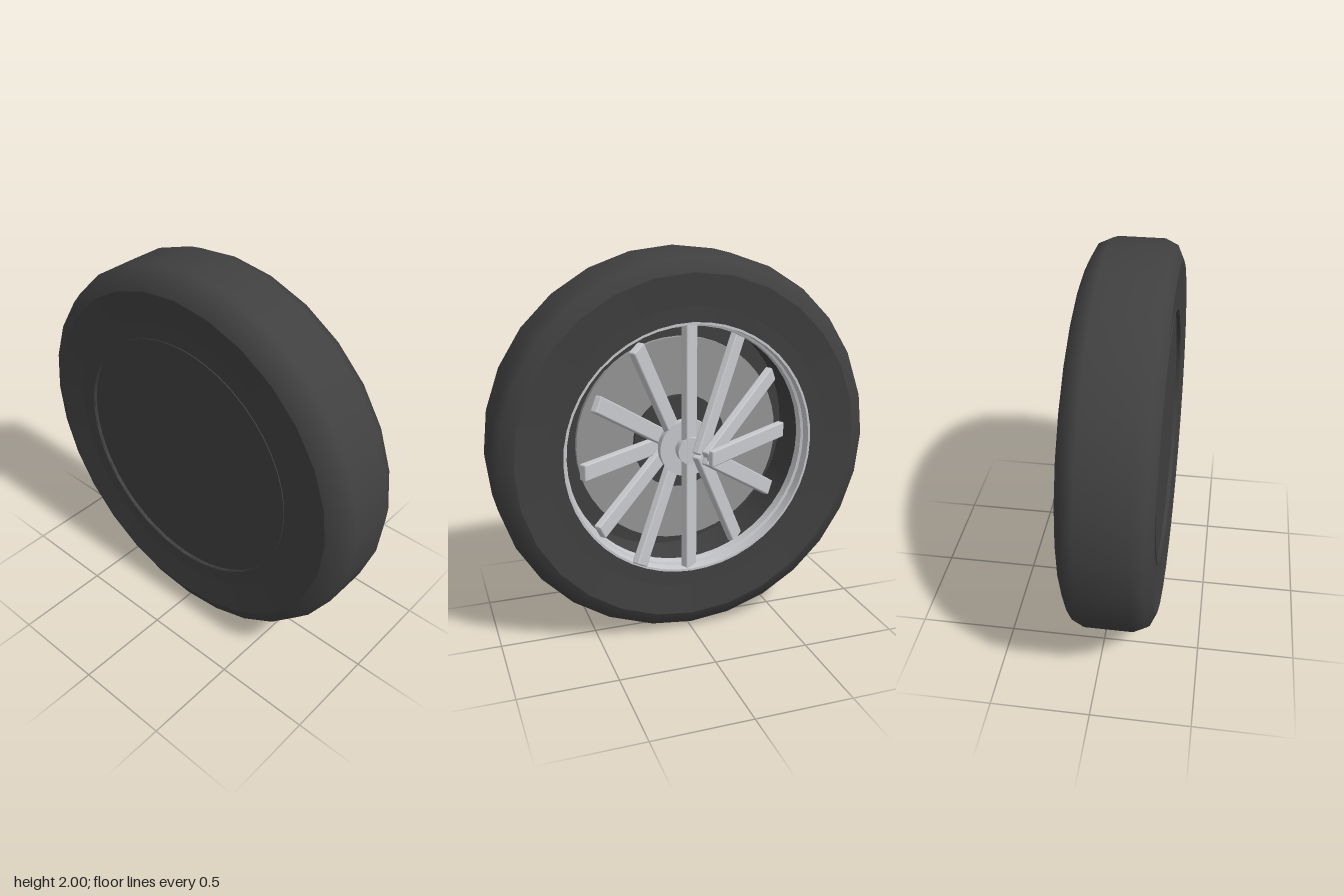
import * as THREE from 'three';
import { RoundedBoxGeometry } from 'three/addons/geometries/RoundedBoxGeometry.js';

export function createModel() {
  const wheel = new THREE.Group();
  wheel.name = 'wheel';
  const mat = (name, color) => {
    const m = new THREE.MeshStandardMaterial({ color, side: THREE.DoubleSide });
    m.name = name;
    return m;
  };
  const rubber = mat('dark rubber', 0x404040);
  const metal = mat('light metal', 0xc8c9cc);
  const steel = mat('brake steel', 0x969697);
  const CENTRE = -0.065; // middle of the tyre width

  const add = (name, geometry, material) => {
    const mesh = new THREE.Mesh(geometry, material);
    mesh.name = name;
    wheel.add(mesh);
    return mesh;
  };
  // Revolve [x, radius] points around the axle; sharp = one lathe per segment
  const turn = (name, pts, material, segments, sharp = false) => {
    const runs = sharp ? pts.slice(1).map((p, i) => [pts[i], p]) : [pts];
    for (const run of runs) {
      const g = new THREE.LatheGeometry(run.map(([x, r]) => new THREE.Vector2(r, x)), segments);
      g.rotateZ(-Math.PI / 2);
      add(name, g, material).position.y = 1;
    }
  };

  // Tyre: rounded tread, two dished sidewalls, inner barrel
  const half = [[0.218, 0.9], [0.185, 0.97], [0.12, 1]];
  turn('tread', [
    ...half.map(([x, r]) => [CENTRE - x, r]),
    ...half.slice().reverse().map(([x, r]) => [CENTRE + x, r]),
  ], rubber, 28);
  turn('outerSidewall', [[CENTRE + 0.218, 0.9], [CENTRE + 0.203, 0.74], [CENTRE + 0.2, 0.655]], rubber, 28, true);
  turn('innerSidewall', [[CENTRE - 0.2, 0.655], [CENTRE - 0.203, 0.74], [CENTRE - 0.218, 0.9]], rubber, 28, true);
  turn('barrel', [[0.04, 0.655], [-0.27, 0.655]], rubber, 48);

  // Closed back of the wheel
  turn('backPlate', [[-0.25, 0], [-0.25, 0.655], [-0.235, 0.655], [-0.235, 0]], rubber, 48, true);

  // Stepped rim inside the tyre opening
  turn('rim', [[0.137, 0.66], [0.137, 0.648], [0.085, 0.645], [0.08, 0.632], [0.03, 0.63], [0.03, 0.655]], metal, 48, true);

  // Brake disc, its dark carrier, hub and axle cap
  turn('brakeDisc', [[-0.11, 0], [-0.11, 0.55], [-0.08, 0.55], [-0.08, 0]], steel, 48, true);
  turn('discCarrier', [[-0.11, 0.25], [-0.055, 0.25], [-0.055, 0]], rubber, 32, true);
  turn('axle', [[-0.23, 0.07], [0.03, 0.07]], metal, 24);
  turn('hub', [[0.03, 0], [0.03, 0.15], [0.075, 0.15], [0.075, 0]], metal, 32, true);
  turn('axleCap', [[0.075, 0.07], [0.125, 0.07], [0.125, 0]], metal, 24, true);

  // Twelve spokes around the axle, each skewed by the same turn about the vertical
  const spoke = new RoundedBoxGeometry(0.042, 0.084, 0.66, 1, 0.008);
  for (let i = 0; i < 12; i++) {
    const a = (i * Math.PI) / 6;
    const s = add('spoke', spoke, metal);
    s.position.set(0.088, 1 + 0.32 * Math.sin(a), 0.32 * Math.cos(a));
    s.rotation.set(-a, 0.58, 0, 'YXZ');
    // Opposite spokes keep the same lean
  }
  return wheel;
}
